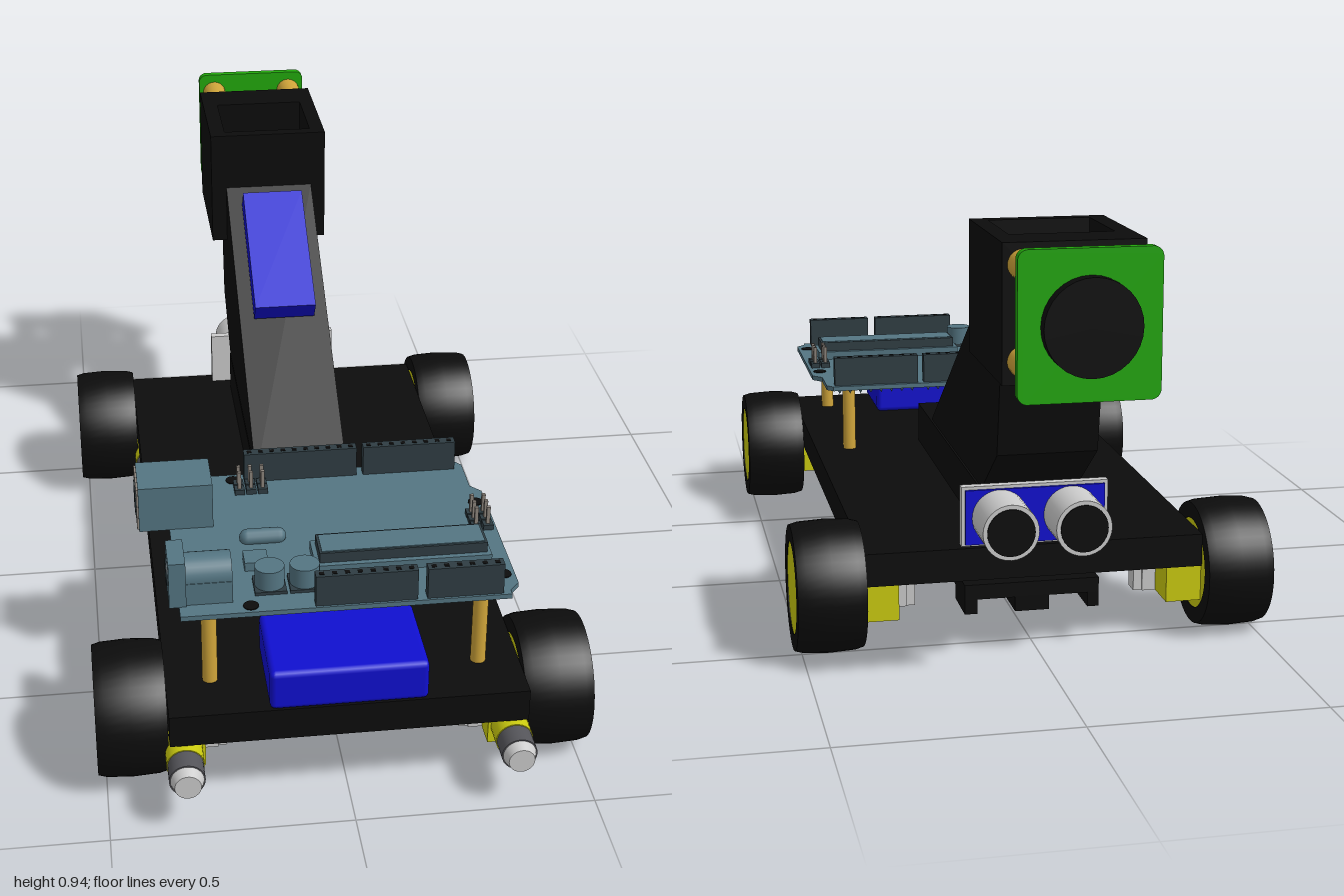
import * as THREE from 'three';
import { RoundedBoxGeometry } from 'three/addons/geometries/RoundedBoxGeometry.js';
import { toCreasedNormals } from 'three/addons/utils/BufferGeometryUtils.js';

const mat = (color) => new THREE.MeshStandardMaterial({ color });
const M = {
  black: mat(0x0c0c0c), blue: mat(0x100fd0), yellow: mat(0xcccc10), grey: mat(0xcccccc),
  dark: mat(0x55555a), gold: mat(0xd0a53a), green: mat(0x22a80c), teal: mat(0x547582),
  slate: mat(0x2f3d43), tan: mat(0x8c847c),
};

export function createModel() {
  const model = new THREE.Group();

  const add = (name, geometry, material, x = 0, y = 0, z = 0, parent = model) => {
    const mesh = new THREE.Mesh(geometry, material);
    mesh.name = name;
    mesh.position.set(x, y, z);
    parent.add(mesh);
    return mesh;
  };
  // box from minimum and maximum extents
  const box = (name, m, x0, x1, y0, y1, z0, z1, parent) =>
    add(name, new THREE.BoxGeometry(x1 - x0, y1 - y0, z1 - z0), m,
      (x0 + x1) / 2, (y0 + y1) / 2, (z0 + z1) / 2, parent);
  // cylinder centred at a point, along a chosen axis
  const cyl = (name, m, r, len, axis, x, y, z, parent, r2 = r) => {
    const g = new THREE.CylinderGeometry(r, r2, len, 32);
    if (axis === 'x') g.rotateZ(-Math.PI / 2);
    if (axis === 'z') g.rotateX(Math.PI / 2);
    return add(name, g, m, x, y, z, parent);
  };
  const shapeOf = (pts) => new THREE.Shape(pts.map((p) => new THREE.Vector2(...p)));

  // Chassis
  box('chassisPlate', M.black, -0.37, 0.37, 0.16, 0.232, -0.555, 0.92);
  box('spineBlock', M.black, -0.115, 0.1, 0.232, 0.33, -0.485, 0.37);
  add('batteryBox', new RoundedBoxGeometry(0.325, 0.09, 0.22, 2, 0.012), M.blue, -0.003, 0.276, 0.81);

  // Sloping arm, profile drawn as (-z, y)
  const armShape = shapeOf([[-0.17, 0.336], [0.46, 0.336], [0.62, 0.45], [0.652, 0.63],
    [0.652, 0.66], [0.5, 0.79]]);
  const armGeo = new THREE.ExtrudeGeometry(armShape, { depth: 0.215, bevelEnabled: false });
  armGeo.rotateY(Math.PI / 2);
  add('arm', armGeo, M.black, -0.115, 0, 0);
  const panel = add('armPanel', new THREE.BoxGeometry(0.147, 0.052, 0.333), M.blue, -0.007, 0.692, -0.297);
  panel.rotation.x = Math.atan(0.672);

  // Head: a box with a vertical well
  const headShape = shapeOf([[-0.152, 0.5], [0.135, 0.5], [0.135, 0.835], [-0.152, 0.835]]);
  headShape.holes.push(shapeOf([[-0.115, 0.53], [-0.115, 0.73], [0.1, 0.73], [0.1, 0.53]]));
  const headGeo = new THREE.ExtrudeGeometry(headShape, { depth: 0.28, bevelEnabled: false });
  headGeo.rotateX(-Math.PI / 2);
  add('head', headGeo, M.black, 0, 0.648, 0);

  // Camera board on four spacers
  const camera = new THREE.Group();
  camera.name = 'camera';
  model.add(camera);
  for (const x of [-0.105, 0.095]) for (const y of [0.695, 0.885])
    cyl('cameraSpacer', M.gold, 0.03, 0.125, 'z', x, y, -0.89, camera);
  const r = 0.02, w = 0.14, h = 0.147;
  const plate = new THREE.Shape();
  plate.moveTo(-w + r, -h);
  plate.absarc(w - r, -h + r, r, -Math.PI / 2, 0);
  plate.absarc(w - r, h - r, r, 0, Math.PI / 2);
  plate.absarc(-w + r, h - r, r, Math.PI / 2, Math.PI);
  plate.absarc(-w + r, -h + r, r, Math.PI, Math.PI * 1.5);
  add('cameraBoard', new THREE.ExtrudeGeometry(plate, { depth: 0.02, bevelEnabled: false }),
    M.green, -0.005, 0.788, -0.972, camera);
  cyl('cameraLens', M.black, 0.096, 0.03, 'z', -0.005, 0.788, -0.985, camera);

  // Wheels and motors
  const tyreGeo = toCreasedNormals(new THREE.LatheGeometry([[0.1, -0.073], [0.135, -0.073],
    [0.14, -0.055], [0.143, 0], [0.14, 0.055], [0.135, 0.073], [0.1, 0.073], [0.1, -0.073]]
    .map((p) => new THREE.Vector2(...p)), 48), 0.6);
  tyreGeo.rotateZ(-Math.PI / 2);
  for (const s of [-1, 1]) for (const z of [0.755, -0.475]) {
    const drive = new THREE.Group();
    drive.name = (z > 0 ? 'front' : 'rear') + (s > 0 ? 'Left' : 'Right') + 'Drive';
    drive.position.z = z;
    model.add(drive);
    add('tyre', tyreGeo, M.black, s * 0.444, 0.143, 0, drive);
    cyl('hub', M.yellow, 0.101, 0.142, 'x', s * 0.444, 0.143, 0, drive);
    add('gearbox', new THREE.BoxGeometry(0.08, 0.08, 0.19), M.yellow, s * 0.335, 0.117, 0.03, drive);
    add('motorMount', new THREE.BoxGeometry(0.03, 0.08, 0.05), M.grey, s * 0.28, 0.117, 0.045, drive);
    add('mountTab', new THREE.BoxGeometry(0.02, 0.08, 0.04), M.grey, s * 0.256, 0.117, 0.045, drive);
    cyl('motorCollar', M.yellow, 0.039, 0.06, 'z', s * 0.34, 0.118, 0.145, drive);
    cyl('motorCan', M.dark, 0.037, 0.05, 'z', s * 0.34, 0.118, 0.198, drive);
    cyl('motorCap', M.grey, 0.027, 0.024, 'z', s * 0.34, 0.118, 0.233, drive, 0.035)
      .rotation.y = 0;
  }

  // Distance sensor at the back
  const sensor = new THREE.Group();
  sensor.name = 'distanceSensor';
  model.add(sensor);
  box('sensorBacking', M.grey, -0.16, 0.16, 0.232, 0.363, -0.54, -0.52, sensor);
  box('sensorBoard', M.blue, -0.152, 0.152, 0.236, 0.356, -0.546, -0.54, sensor);
  for (const x of [-0.078, 0.078]) {
    cyl('sensorCan', M.grey, 0.06, 0.118, 'z', x, 0.295, -0.604, sensor);
    cyl('sensorMesh', M.black, 0.051, 0.004, 'z', x, 0.295, -0.664, sensor);
  }

  // Line follower bar below the back
  const line = new THREE.Group();
  line.name = 'lineSensor';
  model.add(line);
  box('lineBar', M.black, -0.14, 0.155, 0.115, 0.148, -0.55, -0.42, line);
  for (const [a, b] of [[-0.14, -0.115], [-0.03, 0.045], [0.127, 0.155]])
    box('lineFoot', M.black, a, b, 0.083, 0.116, -0.55, -0.44, line);
  for (const x of [-0.048, 0.065])
    box('linePost', M.black, x - 0.014, x + 0.014, 0.146, 0.162, -0.51, -0.46, line);

  // Controller board
  const board = new THREE.Group();
  board.name = 'controller';
  model.add(board);
  const B = (name, m, x0, x1, z0, z1, top, bottom = 0.404) =>
    box(name, m, x0, x1, bottom, top, z0, z1, board);
  const outline = shapeOf([[-0.335, -0.82], [0.345, -0.82], [0.345, -0.805], [0.367, -0.78],
    [0.367, -0.41], [0.345, -0.385], [0.345, -0.29], [0.33, -0.272], [-0.335, -0.272]]);
  const boardGeo = new THREE.ExtrudeGeometry(outline, { depth: 0.011, bevelEnabled: false });
  boardGeo.rotateX(-Math.PI / 2);
  add('circuitBoard', boardGeo, M.teal, 0, 0.394, 0, board);
  for (const x of [-0.277, 0.285]) for (const z of [0.33, 0.797])
    cyl('standoff', M.gold, 0.016, 0.172, 'y', x, 0.318, z, board);
  for (const [x, z] of [[-0.18, 0.297], [0.343, 0.455], [0.343, 0.745], [-0.19, 0.797]])
    cyl('mountHole', M.black, 0.016, 0.014, 'y', x, 0.4, z, board);

  // Pin headers with slots and solder tails
  for (const [x0, x1, z] of [[-0.155, 0.1, 0.295], [0.115, 0.325, 0.295], [-0.06, 0.15, 0.803], [0.17, 0.328, 0.803]]) {
    B('header', M.slate, x0, x1, z - 0.012, z + 0.012, 0.475);
    const n = Math.round((x1 - x0) / 0.026);
    for (let i = 0; i < n; i++) {
      const x = x0 + (i + 0.5) * (x1 - x0) / n;
      B('headerSlot', M.black, x - 0.005, x + 0.005, z - 0.005, z + 0.005, 0.476, 0.474);
      const tail = add('solderTail', new THREE.ConeGeometry(0.008, 0.014, 8), M.teal, x, 0.388, z, board);
      tail.rotation.x = Math.PI;
    }
  }

  // Sockets
  B('usbSocket', M.teal, -0.4, -0.24, 0.372, 0.487, 0.51);
  B('usbFace', M.tan, -0.404, -0.399, 0.376, 0.483, 0.506, 0.408);
  B('usbOpening', M.slate, -0.406, -0.403, 0.4, 0.459, 0.485, 0.43);
  B('powerJackFace', M.teal, -0.355, -0.32, 0.692, 0.785, 0.508);
  B('powerJackBase', M.teal, -0.325, -0.225, 0.697, 0.78, 0.455);
  cyl('powerJackBarrel', M.teal, 0.041, 0.1, 'x', -0.275, 0.458, 0.738, board);
  cyl('powerJackHole', M.slate, 0.028, 0.004, 'x', -0.356, 0.462, 0.738, board);
  for (const z of [0.71, 0.765]) for (const x of [-0.3, -0.23]) {
    const pin = add('jackTail', new THREE.ConeGeometry(0.014, 0.035, 8), M.teal, x, 0.378, z, board);
    pin.rotation.x = Math.PI;
  }

  // Chips and small parts
  B('mainChip', M.teal, -0.045, 0.328, 0.6, 0.7, 0.425);
  B('chipBody', M.slate, -0.035, 0.32, 0.612, 0.688, 0.448, 0.425);
  B('chipTop', M.teal, -0.03, 0.315, 0.617, 0.683, 0.45, 0.447);
  for (const x of [-0.145, -0.072]) {
    B('capacitorBase', M.slate, x - 0.033, x + 0.033, 0.697, 0.763, 0.412);
    cyl('capacitor', M.teal, 0.031, 0.045, 'y', x, 0.433, 0.73, board);
  }
  B('regulator', M.teal, -0.19, -0.14, 0.62, 0.67, 0.425);
  const crystal = add('crystal', new THREE.CapsuleGeometry(0.018, 0.065, 4, 12), M.teal, -0.14, 0.414, 0.552, board);
  crystal.rotation.z = Math.PI / 2;
  B('resetButton', M.teal, -0.295, -0.238, 0.277, 0.333, 0.43);
  cyl('resetCap', M.slate, 0.015, 0.012, 'y', -0.267, 0.435, 0.305, board);

  // Programming pins
  for (let i = 0; i < 3; i++) for (let j = 0; j < 2; j++) {
    for (const [x, z] of [[0.322 + j * 0.026, 0.51 + i * 0.026], [-0.17 + i * 0.026, 0.325 + j * 0.026]]) {
      B('pinBase', M.slate, x - 0.011, x + 0.011, z - 0.011, z + 0.011, 0.417);
      B('pin', M.tan, x - 0.004, x + 0.004, z - 0.004, z + 0.004, 0.458);
    }
  }
  return model;
}
